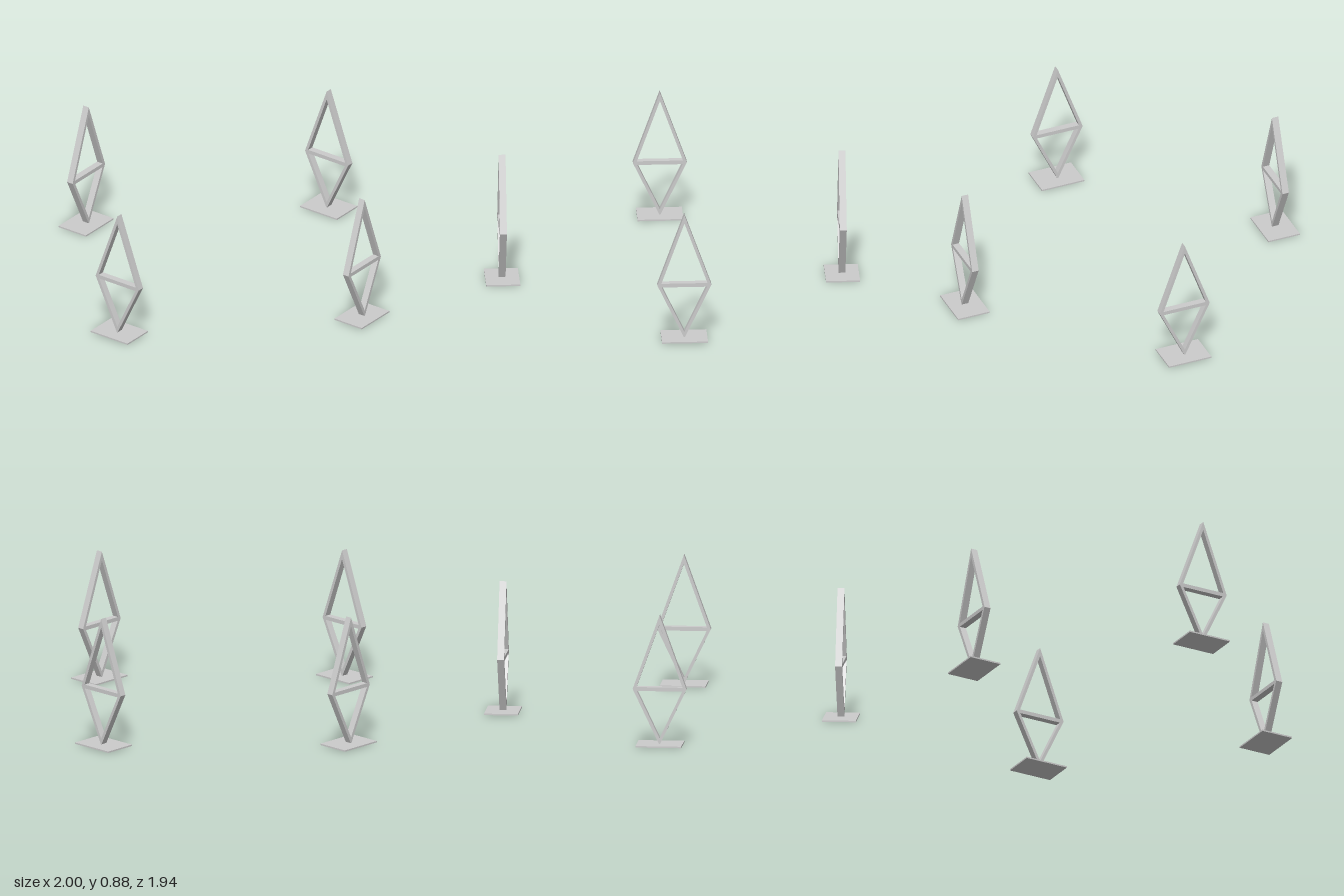
import * as THREE from 'three';

const HALF = 0.179, TOP = 0.876, MID = 0.378, FOOT = 0.002;
const BAR = 0.02, DEPTH = 0.046, CROSS = 0.013;

// Triangular opening between the crossbar and one tip of the diamond
function opening(tipY) {
  const rise = tipY - MID;
  const inset = BAR * Math.hypot(rise, HALF) / HALF;
  const apex = tipY - Math.sign(rise) * inset;
  const base = MID + Math.sign(rise) * CROSS;
  const x = HALF * (apex - base) / rise;
  return new THREE.Path([
    new THREE.Vector2(-x, base), new THREE.Vector2(x, base), new THREE.Vector2(0, apex),
  ]);
}

function createFrameGeometry() {
  const outline = new THREE.Shape([
    new THREE.Vector2(0, FOOT), new THREE.Vector2(HALF, MID),
    new THREE.Vector2(0, TOP), new THREE.Vector2(-HALF, MID),
  ]);
  outline.holes.push(opening(TOP), opening(FOOT));
  const geometry = new THREE.ExtrudeGeometry(outline, { depth: DEPTH, bevelEnabled: false });
  return geometry.translate(0, 0, -DEPTH / 2);
}

export function createModel() {
  const model = new THREE.Group();
  model.name = 'cornerStands';
  const material = new THREE.MeshStandardMaterial({ color: 0xcccccc, flatShading: true });
  const frameGeometry = createFrameGeometry();
  const plateGeometry = new THREE.BoxGeometry(0.305, 0.01, 0.226).translate(0, 0.005, 0);

  // One stand at each corner, broad face turned towards the centre
  for (const sx of [-1, 1]) {
    for (const sz of [-1, 1]) {
      const stand = new THREE.Group();
      stand.name = (sz > 0 ? 'front' : 'back') + (sx > 0 ? 'Left' : 'Right') + 'Stand';
      const frame = new THREE.Mesh(frameGeometry, material);
      frame.name = 'diamondFrame';
      const plate = new THREE.Mesh(plateGeometry, material);
      plate.name = 'basePlate';
      stand.add(frame, plate);
      stand.position.set(sx * 0.812, 0, sz * 0.781);
      stand.rotation.y = sx * sz * Math.PI / 4;
      model.add(stand);
    }
  }
  return model;
}
